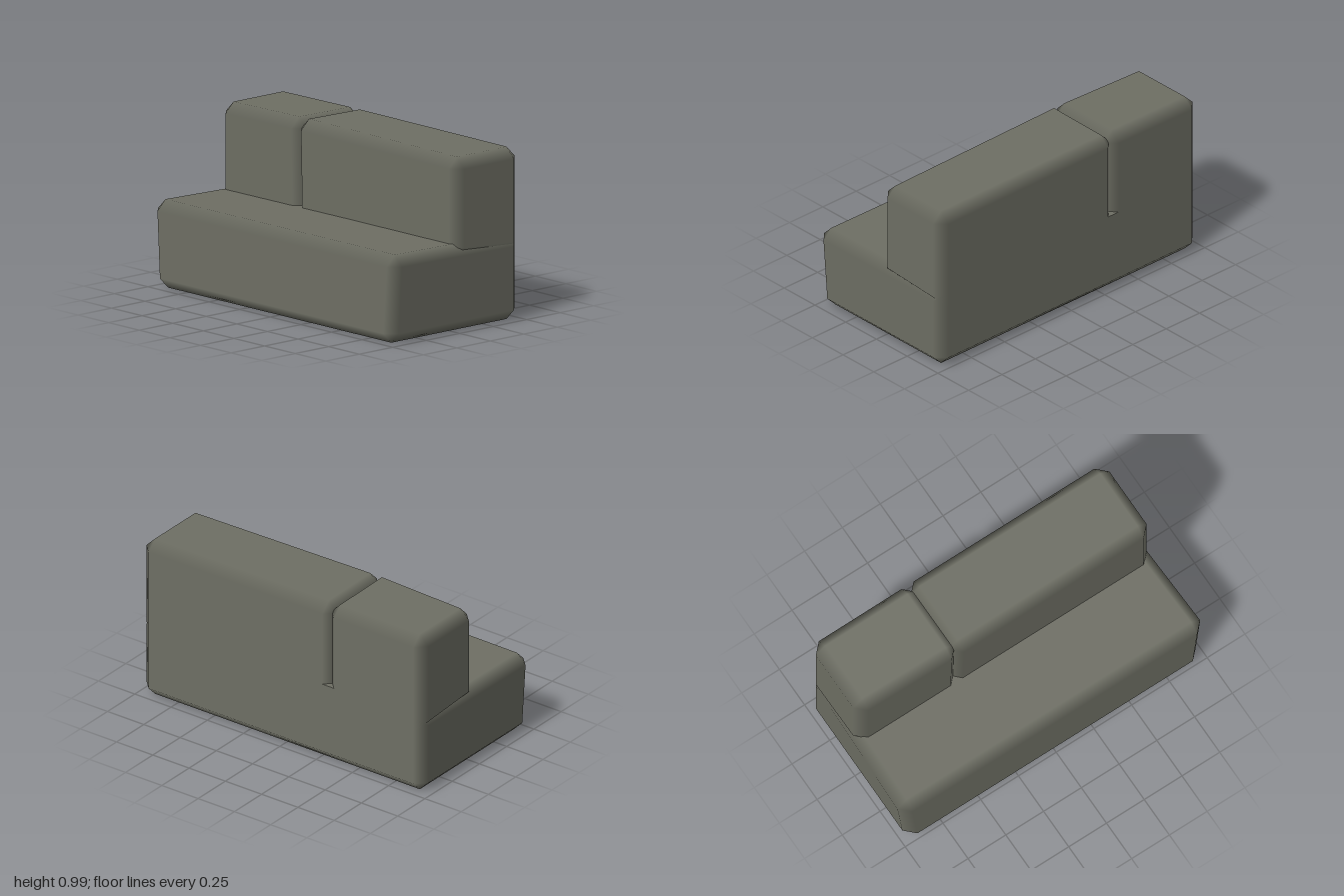
import * as THREE from 'three';

const BEVEL = 0.06;

// Bevelled six-sided block with soft edges.
// corner(sx, sy, sz) gives each outer corner; sharp(a, sa, b, sb) marks edges left unbevelled.
function blockGeometry(corner, sharp = () => false) {
  const pos = [], nor = [], index = [];
  const id = {};
  const signs = [-1, 1];
  const center = new THREE.Vector3();
  for (const x of signs) for (const y of signs) for (const z of signs) {
    center.addScaledVector(new THREE.Vector3(...corner(x, y, z)), 1 / 8);
  }
  const at = (i) => new THREE.Vector3().fromArray(pos, i * 3);

  // Triangles always turned to face outwards
  function tri(i, j, k) {
    const a = at(i), b = at(j), c = at(k);
    const n = b.clone().sub(a).cross(c.clone().sub(a));
    if (n.lengthSq() < 1e-14) return;
    const mid = a.add(b).add(c).divideScalar(3).sub(center);
    if (n.dot(mid) < 0) index.push(i, k, j);
    else index.push(i, j, k);
  }
  const quad = (a, b, c, d) => { tri(a, b, c); tri(a, c, d); };
  const key = (axis, s) => axis + ':' + s.join();
  const put = (a, sa, b, sb, c, sc) => {
    const s = [];
    s[a] = sa; s[b] = sb; s[c] = sc;
    return s;
  };

  // One inset quad for each side, with flat normals
  for (let a = 0; a < 3; a++) {
    const b = (a + 1) % 3, c = (a + 2) % 3;
    for (const sa of signs) {
      const ids = [[-1, -1], [1, -1], [1, 1], [-1, 1]].map(([sb, sc]) => {
        const s = put(a, sa, b, sb, c, sc);
        const p = corner(...s).slice();
        for (const t of [b, c]) if (!sharp(a, sa, t, s[t])) p[t] -= s[t] * BEVEL;
        id[key(a, s)] = pos.length / 3;
        pos.push(...p);
        return id[key(a, s)];
      });
      const n = at(ids[2]).sub(at(ids[0])).cross(at(ids[3]).sub(at(ids[1])));
      n.normalize().multiplyScalar(sa);
      for (let i = 0; i < 4; i++) nor.push(n.x, n.y, n.z);
      quad(...ids);
    }
  }
  // Bevel strips blend the normals of neighbouring sides
  for (let a = 0; a < 3; a++) {
    const b = (a + 1) % 3, c = (a + 2) % 3;
    for (const sa of signs) for (const sb of signs) {
      const lo = put(a, sa, b, sb, c, -1), hi = put(a, sa, b, sb, c, 1);
      quad(id[key(a, lo)], id[key(a, hi)], id[key(b, hi)], id[key(b, lo)]);
    }
  }
  // Corner caps
  for (const x of signs) for (const y of signs) for (const z of signs) {
    const s = [x, y, z];
    tri(id[key(0, s)], id[key(1, s)], id[key(2, s)]);
  }
  const g = new THREE.BufferGeometry();
  g.setAttribute('position', new THREE.Float32BufferAttribute(pos, 3));
  g.setAttribute('normal', new THREE.Float32BufferAttribute(nor, 3));
  g.setIndex(index);
  return g;
}

export function createModel() {
  const group = new THREE.Group();
  const stone = new THREE.MeshStandardMaterial({ color: 0x6e6f64 });
  stone.name = 'grey stone';

  function add(name, geometry) {
    const mesh = new THREE.Mesh(geometry, stone);
    mesh.name = name;
    group.add(mesh);
  }
  // Edge between the back and the given top (1) or bottom (-1) stays flush
  const flushBack = (sy) => (a, sa, b, sb) =>
    (a === 1 && sa === sy && b === 2 && sb === -1) ||
    (a === 2 && sa === -1 && b === 1 && sb === sy);

  // Wide lower step, flaring at its upper front corners
  add('lowerStep', blockGeometry((x, y, z) => [
    x * (y > 0 && z > 0 ? 1 : 0.972),
    y < 0 ? 0 : z < 0 ? 0.48 : x < 0 ? 0.494 : 0.502,
    z < 0 ? -0.49 : y > 0 && x < 0 ? 0.483 : 0.49,
  ], flushBack(1)));

  // Two upper stones meeting at a V-shaped joint
  function upperStone(name, x0, x1, joint) {
    add(name, blockGeometry((x, y, z) => {
      const atJoint = x === joint;
      return [
        x < 0 ? x0 : x1,
        y < 0 ? (z < 0 ? 0.385 : 0.41) : atJoint ? (z < 0 ? 0.98 : 0.986) : 0.975,
        z < 0 ? -0.49 : atJoint && y > 0 ? 0.01 : 0,
      ];
    }, flushBack(-1)));
  }
  upperStone('shortUpperStone', -0.972, -0.305, 1);
  upperStone('longUpperStone', -0.345, 0.972, -1);

  return group;
}
